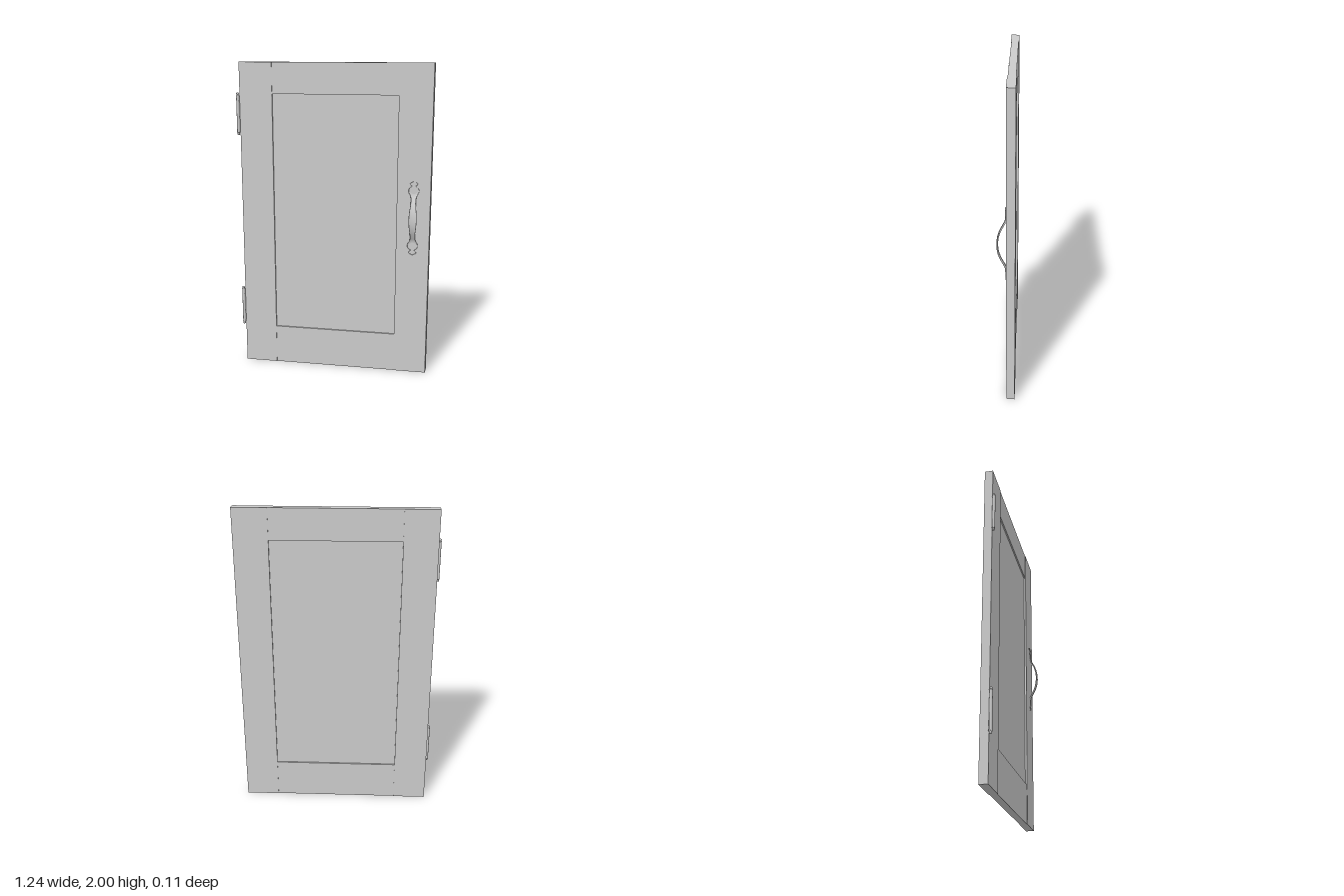
import * as THREE from 'three';

const material = new THREE.MeshStandardMaterial({ color: 0xcccccc });

function addMesh(parent, name, geometry, x = 0, y = 0, z = 0) {
  const mesh = new THREE.Mesh(geometry, material);
  mesh.name = name;
  mesh.position.set(x, y, z);
  parent.add(mesh);
  return mesh;
}

// Box given by its extents
function addBoard(parent, name, x0, x1, y0, y1, z0, z1) {
  return addMesh(parent, name, new THREE.BoxGeometry(x1 - x0, y1 - y0, z1 - z0),
    (x0 + x1) / 2, (y0 + y1) / 2, (z0 + z1) / 2);
}

// Arched strap: elliptical sections swept along a mirrored path in the y-z plane
function strapGeometry() {
  // [distance from middle, z, half width]
  const half = [
    [0, 0.051, 0.025], [0.045, 0.047, 0.023], [0.085, 0.035, 0.018], [0.12, 0.018, 0.016],
    [0.145, 0.005, 0.02], [0.165, 0.001, 0.031], [0.183, 0, 0.033], [0.198, 0, 0.024],
    [0.207, 0, 0.013], [0.216, 0, 0.022], [0.226, 0, 0.023], [0.236, 0, 0.004]
  ];
  const points = [
    ...half.slice(1).reverse().map(([d, z, w]) => new THREE.Vector3(w, -d, z)),
    ...half.map(([d, z, w]) => new THREE.Vector3(w, d, z))
  ];
  const curve = new THREE.CatmullRomCurve3(points);
  const rings = 88, sides = 14, thickness = 0.005;
  const positions = [], indices = [];
  for (let i = 0; i <= rings; i++) {
    const p = curve.getPoint(i / rings), t = curve.getTangent(i / rings);
    const length = Math.hypot(t.y, t.z) || 1;
    const ny = -t.z / length, nz = t.y / length;
    for (let j = 0; j < sides; j++) {
      const a = (j / sides) * Math.PI * 2;
      const lift = Math.sin(a) * thickness;
      positions.push(Math.cos(a) * p.x, p.y + ny * lift, p.z + nz * lift);
      if (i < rings) {
        const k = (j + 1) % sides, r = i * sides, s = r + sides;
        indices.push(r + j, s + j, r + k, r + k, s + j, s + k);
      }
    }
  }
  // End caps
  const last = rings * sides;
  for (let j = 1; j < sides - 1; j++) {
    indices.push(0, j, j + 1, last, last + j + 1, last + j);
  }
  // Wind the faces outward
  for (let i = 0; i < indices.length; i += 3) {
    [indices[i + 1], indices[i + 2]] = [indices[i + 2], indices[i + 1]];
  }
  const geometry = new THREE.BufferGeometry();
  geometry.setAttribute('position', new THREE.Float32BufferAttribute(positions, 3));
  geometry.setIndex(indices);
  geometry.computeVertexNormals();
  return geometry;
}

// Barrel with necks and round finials at both ends
function hingeGeometry() {
  const half = [
    [0.0095, 0.112], [0.0105, 0.115], [0.0105, 0.118], [0.006, 0.120],
    [0.0075, 0.123], [0.009, 0.127], [0.0065, 0.132], [0, 0.134]
  ];
  const profile = [
    ...half.slice().reverse().map(([r, y]) => new THREE.Vector2(r, -y)),
    ...half.map(([r, y]) => new THREE.Vector2(r, y))
  ];
  return new THREE.LatheGeometry(profile, 16);
}

export function createModel() {
  const model = new THREE.Group();
  model.name = 'cabinetDoor';

  // Frame and recessed panel
  const frame = new THREE.Group();
  frame.name = 'frame';
  model.add(frame);
  addBoard(frame, 'hingeStile', -0.6, -0.39, 0, 2, -0.055, -0.003);
  const latchStile = addBoard(frame, 'latchStile', 0.405, 0.614, 0, 2, -0.055, -0.003);
  addBoard(frame, 'bottomRail', -0.392, 0.407, 0, 0.255, -0.052, -0.006);
  addBoard(frame, 'topRail', -0.392, 0.407, 1.805, 2, -0.052, -0.006);
  addBoard(model, 'panel', -0.395, 0.41, 0.25, 1.81, -0.043, -0.015);

  // Outer edge of the latch stile leans out slightly at the back
  const p = latchStile.geometry.attributes.position;
  for (let i = 0; i < p.count; i++) {
    if (p.getX(i) > 0 && p.getZ(i) < 0) p.setX(i, p.getX(i) + 0.004);
  }
  latchStile.geometry.computeVertexNormals();

  // Pull handle
  addMesh(model, 'handle', strapGeometry(), 0.51, 1.043, 0);

  // Hinges, each with a small leaf reaching the stile edge
  for (const [name, y] of [['lowerHinge', 0.398], ['upperHinge', 1.678]]) {
    const hinge = new THREE.Group();
    hinge.name = name;
    hinge.position.set(-0.609, y, 0.008);
    addMesh(hinge, 'barrel', hingeGeometry());
    addMesh(hinge, 'leaf', new THREE.BoxGeometry(0.006, 0.22, 0.016), 0.006, 0, -0.007);
    model.add(hinge);
  }

  return model;
}
